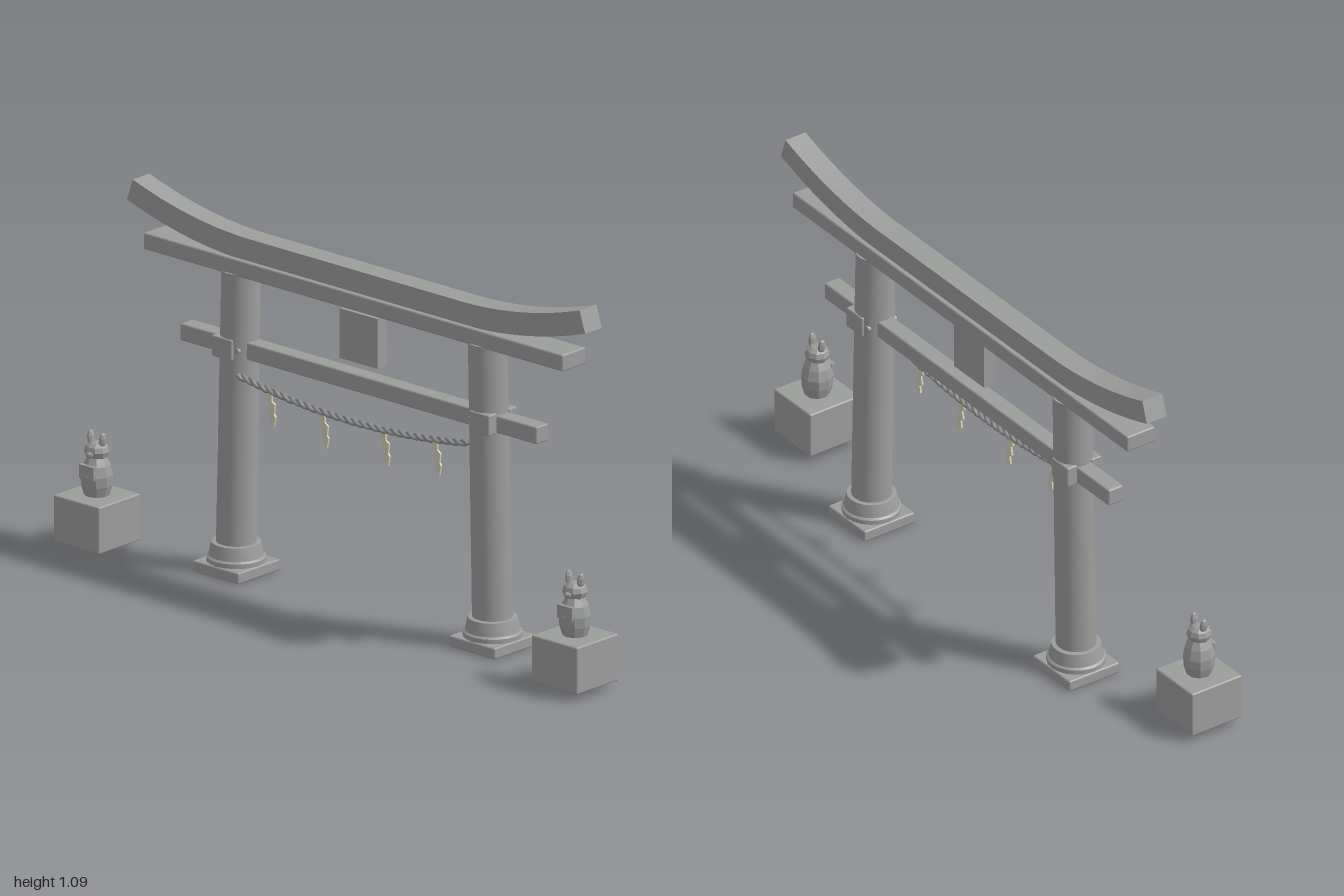
import * as THREE from 'three';
import { toCreasedNormals } from 'three/addons/utils/BufferGeometryUtils.js';
import { RoundedBoxGeometry } from 'three/addons/geometries/RoundedBoxGeometry.js';

const GATE_Z = -0.058;

export function createModel() {
  const root = new THREE.Group();
  const stone = new THREE.MeshStandardMaterial({ color: 0x9c9e9c });
  stone.name = 'grey stone';
  const cord = new THREE.MeshStandardMaterial({ color: 0x8c8e8d });
  cord.name = 'grey cord';
  const paper = new THREE.MeshStandardMaterial({ color: 0xd6d2b8 });
  paper.name = 'cream paper';

  const add = (parent, name, geo, mat, x = 0, y = 0, z = 0) => {
    const m = new THREE.Mesh(geo, mat);
    m.name = name;
    m.position.set(x, y, z);
    parent.add(m);
    return m;
  };
  // box with a small chamfer
  const block = (w, h, d, r = 0.005) => new RoundedBoxGeometry(w, h, d, 1, r);
  const faceted = (geo) => {
    const g = geo.index ? geo.toNonIndexed() : geo;
    g.computeVertexNormals();
    return g;
  };
  const lathe = (pts, n) => new THREE.LatheGeometry(pts.map((p) => new THREE.Vector2(...p)), n);

  // upswept top beam: a centre line offset to both sides along its normal
  const top = [], bottom = [];
  for (let i = 0; i <= 48; i++) {
    const x = -0.863 + (1.726 * i) / 48;
    const t = Math.max(0, (Math.abs(x) - 0.4) / 0.463);
    const y = 0.98 + 0.078 * t * t;
    const n = new THREE.Vector2(-Math.sign(x) * 0.337 * t, 1).normalize().multiplyScalar(0.034);
    top.push(new THREE.Vector2(x + n.x, y + n.y));
    bottom.push(new THREE.Vector2(x - n.x, y - n.y));
  }
  const roofShape = new THREE.Shape([...bottom, ...top.reverse()]);
  const roof = new THREE.ExtrudeGeometry(roofShape, { depth: 0.07, bevelEnabled: false });
  add(root, 'curvedTopBeam', toCreasedNormals(roof, 0.5), stone, 0, 0, GATE_Z - 0.035);

  // straight beams and hanging tablet
  add(root, 'upperBeam', block(1.6, 0.05, 0.098), stone, 0, 0.923, GATE_Z);
  add(root, 'tieBeam', block(1.36, 0.052, 0.052), stone, 0, 0.674, GATE_Z);
  add(root, 'tablet', new THREE.BoxGeometry(0.145, 0.148, 0.04), stone, -0.004, 0.807, GATE_Z);

  for (const s of [-1, 1]) {
    const side = s > 0 ? 'left' : 'right';

    // leaning pillar with its footing
    const pillarGeo = new THREE.CylinderGeometry(0.056, 0.058, 0.885, 32);
    const pos = pillarGeo.attributes.position;
    for (let i = 0; i < pos.count; i++) pos.setX(i, pos.getX(i) - s * 0.022 * pos.getY(i));
    add(root, side + 'Pillar', pillarGeo, stone, s * 0.48, 0.46, GATE_Z);
    add(root, side + 'FootPlate', block(0.176, 0.034, 0.176), stone, s * 0.489, 0.017, GATE_Z);
    const collar = lathe([[0, 0.03], [0.085, 0.03], [0.085, 0.047], [0.079, 0.052], [0.071, 0.09], [0.05, 0.092]], 20);
    add(root, side + 'Collar', toCreasedNormals(collar, 0.4), stone, s * 0.489, 0, GATE_Z);

    // wedges and pegs where the tie beam passes through
    for (const f of [-1, 1]) {
      add(root, side + 'Wedge', block(0.076, 0.062, 0.036, 0.004), stone, s * 0.491, 0.677, GATE_Z + f * 0.042);
      const peg = new THREE.CylinderGeometry(0.009, 0.009, 0.03, 8).rotateX(Math.PI / 2);
      add(root, side + 'Peg', peg, stone, s * 0.443, 0.675, GATE_Z + f * 0.035);
    }

    // guardian on its pedestal
    const guardian = new THREE.Group();
    guardian.name = side + 'Guardian';
    guardian.position.set(s * 0.912, 0, 0.061);
    root.add(guardian);
    add(guardian, 'pedestal', block(0.175, 0.14, 0.175), stone, 0, 0.092, 0);
    const body = lathe([[0, 0.16], [0.036, 0.16], [0.045, 0.192], [0.047, 0.222], [0.04, 0.252], [0.027, 0.277], [0, 0.28]], 9);
    add(guardian, 'body', faceted(body), stone);
    const head = new THREE.SphereGeometry(1, 9, 6).scale(0.038, 0.029, 0.035);
    add(guardian, 'head', faceted(head), stone, 0, 0.292, 0);
    const snout = new THREE.SphereGeometry(1, 7, 5).scale(0.014, 0.01, 0.012);
    add(guardian, 'snout', faceted(snout), stone, 0, 0.286, 0.029);
    add(guardian, 'bib', new THREE.BoxGeometry(0.056, 0.04, 0.013), stone, 0, 0.236, 0.038);
    for (const e of [-1, 1]) {
      const ear = new THREE.SphereGeometry(1, 7, 5).scale(0.01, 0.024, 0.013);
      add(guardian, 'ear', faceted(ear), stone, e * 0.022, 0.325, 0).rotation.z = -e * 0.1;
    }
  }

  // sagging rope twisted from two strands
  const ropeZ = -0.014;
  const sag = (x) => 0.566 + 0.038 * (x / 0.44) ** 2;
  for (const phase of [0, Math.PI]) {
    const pts = [];
    for (let i = 0; i <= 240; i++) {
      const x = -0.44 + (0.88 * i) / 240;
      const a = phase + x * 105;
      pts.push(new THREE.Vector3(x, sag(x) + 0.005 * Math.cos(a), ropeZ + 0.005 * Math.sin(a)));
    }
    const strand = new THREE.TubeGeometry(new THREE.CatmullRomCurve3(pts), 360, 0.0065, 6);
    add(root, 'ropeStrand', strand, cord);
  }

  // folded paper streamers: stepped zigzag strips
  const zigzag = new THREE.Shape([
    [-0.012, 0], [0.006, 0], [0.006, -0.026], [0.018, -0.034], [0.014, -0.062], [0.02, -0.07], [0.014, -0.1],
    [-0.002, -0.088], [0.002, -0.064], [-0.01, -0.056], [-0.004, -0.03], [-0.014, -0.022],
  ].map((p) => new THREE.Vector2(...p)));
  for (const x of [-0.317, -0.115, 0.118, 0.314]) {
    const strip = new THREE.ExtrudeGeometry(zigzag, { depth: 0.006, bevelEnabled: false });
    add(root, 'paperStreamer', strip, paper, x, sag(x) - 0.004, ropeZ - 0.003);
  }

  return root;
}
